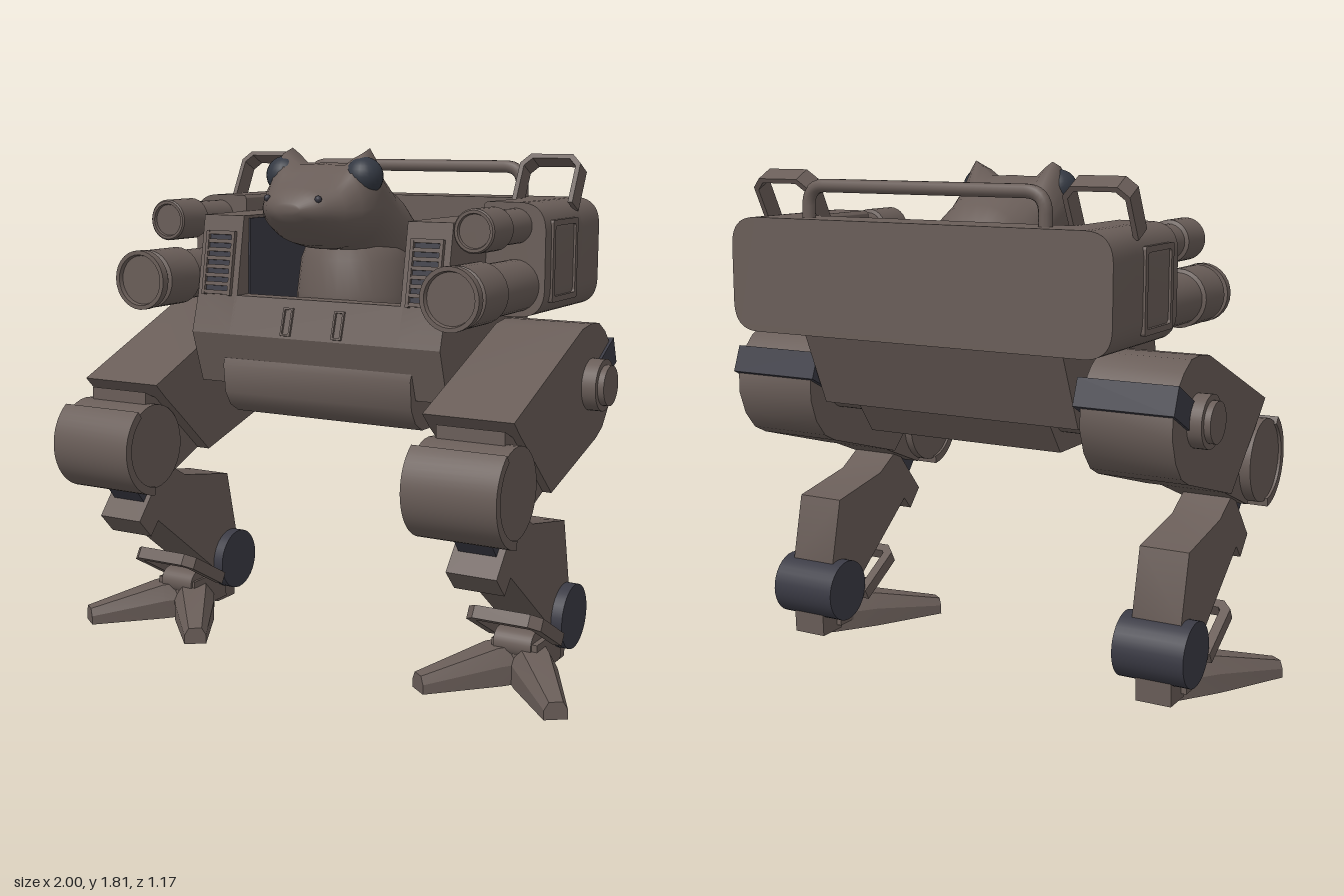
import * as THREE from 'three';
import { toCreasedNormals } from 'three/addons/utils/BufferGeometryUtils.js';

const material = (name, color) => {
  const m = new THREE.MeshStandardMaterial({ color });
  m.name = name;
  return m;
};

export function createModel() {
  const model = new THREE.Group();
  model.name = 'walker';
  const brown = material('brown', 0x695d58);
  const dark = material('charcoal', 0x3a3a44);
  const eyeMat = material('eye', 0x333842);

  const add = (name, geo, mat = brown) => {
    const m = new THREE.Mesh(geo, mat);
    m.name = name;
    model.add(m);
  };
  // Mirror across x = 0, keeping outward faces
  const mirror = (geo) => {
    const g = geo.index ? geo.toNonIndexed() : geo.clone();
    g.scale(-1, 1, 1);
    for (const a of Object.values(g.attributes)) {
      const n = a.itemSize;
      for (let i = 0; i < a.count; i += 3)
        for (let k = 0; k < n; k++) {
          const p = (i + 1) * n + k, q = (i + 2) * n + k, t = a.array[p];
          a.array[p] = a.array[q];
          a.array[q] = t;
        }
    }
    return g;
  };
  const pair = (name, geo, mat = brown) => {
    add(name + 'Left', geo, mat);
    add(name + 'Right', mirror(geo), mat);
  };
  const shapeOf = (pts) => new THREE.Shape(pts.map(([a, b]) => new THREE.Vector2(a, b)));
  const extrude = (shape, depth) =>
    toCreasedNormals(new THREE.ExtrudeGeometry(shape, { depth, bevelEnabled: false, curveSegments: 10 }), 0.6);
  // Side outline (z, y) as a shape or list of points, spanning x0 to x1
  const side = (outline, x0, x1) =>
    extrude(Array.isArray(outline) ? shapeOf(outline) : outline, x1 - x0).rotateY(-Math.PI / 2).translate(x1, 0, 0);
  const box = (x0, x1, y0, y1, z0, z1) =>
    new THREE.BoxGeometry(x1 - x0, y1 - y0, z1 - z0).translate((x0 + x1) / 2, (y0 + y1) / 2, (z0 + z1) / 2);
  const axleX = (r, x0, x1, y, z) =>
    new THREE.CylinderGeometry(r, r, x1 - x0, 32).rotateZ(Math.PI / 2).translate((x0 + x1) / 2, y, z);
  // Turned part along z from [radius, z] points
  const turned = (pts, x, y) =>
    toCreasedNormals(new THREE.LatheGeometry(pts.map(([r, z]) => new THREE.Vector2(r, z)), 28), 0.6)
      .rotateX(Math.PI / 2).translate(x, y, 0);
  // Rectangle with separate corner radii on its left and right
  const roundRect = (x0, x1, y0, y1, rl, rr) => {
    const s = new THREE.Shape();
    s.moveTo(x0 + rl, y0).lineTo(x1 - rr, y0).quadraticCurveTo(x1, y0, x1, y0 + rr).lineTo(x1, y1 - rr);
    s.quadraticCurveTo(x1, y1, x1 - rr, y1).lineTo(x0 + rl, y1).quadraticCurveTo(x0, y1, x0, y1 - rl);
    s.lineTo(x0, y0 + rl).quadraticCurveTo(x0, y0, x0 + rl, y0);
    return s;
  };
  // Flat strap bent into an arch, base at y = 0
  const arch = (w, h, t, depth) => {
    const c = 0.045;
    return extrude(shapeOf([[-w, 0], [-w + t, 0], [-w + t, h - c], [-w + c, h - t], [w - c, h - t], [w - t, h - c],
      [w - t, 0], [w, 0], [w, h - c + 0.01], [w - c + 0.01, h], [-w + c - 0.01, h], [-w, h - c + 0.01]]), depth);
  };
  // Rings of equal point count joined into a closed skin
  const loft = (rings) => {
    const n = rings[0].length, pos = rings.flat(2), idx = [];
    for (let r = 0; r < rings.length - 1; r++)
      for (let i = 0; i < n; i++) {
        const a = r * n + i, b = r * n + (i + 1) % n;
        idx.push(a, b, a + n, b, b + n, a + n);
      }
    for (let i = 1; i < n - 1; i++) {
      const e = (rings.length - 1) * n;
      idx.push(0, i + 1, i, e, e + i, e + i + 1);
    }
    const g = new THREE.BufferGeometry();
    g.setAttribute('position', new THREE.Float32BufferAttribute(pos, 3));
    g.setIndex(idx);
    g.computeVertexNormals();
    return g;
  };

  // Rear hull and side pods
  add('rearHull', extrude(roundRect(-0.72, 0.72, 1.24, 1.63, 0.1, 0.1), 0.17).translate(0, 0, -0.59));
  pair('sidePod', extrude(roundRect(0.49, 0.72, 1.24, 1.63, 0.02, 0.1), 0.33).translate(0, 0, -0.43));
  const frame = roundRect(-0.37, -0.15, 1.29, 1.57, 0.01, 0.01);
  frame.holes.push(roundRect(-0.35, -0.17, 1.31, 1.55, 0.01, 0.01));
  pair('podPanelFrame', side(frame, 0.7, 0.728));

  // Cockpit tub
  add('lowerTub', side([[0.24, 1.155], [-0.42, 1.155], [-0.42, 1.24], [-0.49, 1.24], [-0.37, 0.97], [0.18, 0.97]], -0.5, 0.5));
  add('frontLip', side([[0.24, 1.155], [0.2, 1.29], [0.13, 1.29], [0.13, 1.155]], -0.34, 0.34));
  pair('cockpitWall', side([[0.24, 1.155], [0.2, 1.29], [0.15, 1.57], [-0.43, 1.57], [-0.43, 1.155]], 0.33, 0.5));
  pair('cockpitLining', side([[0.12, 1.155], [0.13, 1.29], [0.12, 1.56], [-0.42, 1.56], [-0.42, 1.155]], 0.323, 0.33), dark);
  add('cockpitFloor', box(-0.33, 0.33, 1.155, 1.163, -0.42, 0.13), dark);
  add('belly', side([[0.2, 1.09], [-0.3, 1.09], [-0.34, 0.97], [-0.26, 0.86], [0.13, 0.86], [0.18, 0.89], [0.21, 0.94], [0.22, 1.04]], -0.38, 0.38));
  const slotFrame = roundRect(-0.02, 0.02, -0.05, 0.05, 0.003, 0.003);
  slotFrame.holes.push(roundRect(-0.013, 0.013, -0.043, 0.043, 0.003, 0.003));
  pair('frontSlot', extrude(slotFrame, 0.012).rotateX(-0.288).translate(0.103, 1.21, 0.22));

  // Vents with slats on the sloping pillars
  const tilt = -Math.atan2(0.05, 0.28);
  const onPillar = (g, y) => g.rotateX(tilt).translate(0.415, y, 0.2 - (y - 1.29) * 0.05 / 0.28);
  pair('ventBack', onPillar(new THREE.BoxGeometry(0.11, 0.22, 0.008), 1.4), dark);
  for (let i = 0; i < 8; i++)
    pair('ventSlat' + i, onPillar(new THREE.BoxGeometry(0.11, 0.014, 0.026), 1.297 + i * 0.03));
  for (const x of [-0.055, 0.055])
    pair('ventRim', onPillar(new THREE.BoxGeometry(0.012, 0.23, 0.03).translate(x, 0, 0), 1.4));

  // Cannons
  pair('lowerCannon', turned([[0, -0.12], [0.09, -0.12], [0.09, 0.17], [0.103, 0.175], [0.103, 0.345], [0.09, 0.35],
    [0.09, 0.37], [0.105, 0.37], [0.105, 0.4], [0.09, 0.4], [0.086, 0.385], [0, 0.385]], 0.61, 1.347));
  pair('upperCannon', turned([[0, -0.12], [0.06, -0.12], [0.06, 0.075], [0.073, 0.08], [0.073, 0.225], [0.068, 0.23],
    [0.058, 0.23], [0.055, 0.22], [0, 0.22]], 0.61, 1.55));

  // Pod handles and rear rail
  pair('podHandle', arch(0.115, 0.185, 0.017, 0.07).rotateX(-0.48).translate(0.6, 1.59, -0.4));
  const [a, b, c, d, e, f] = [[-0.45, 1.6], [-0.45, 1.67], [-0.38, 1.738], [0.38, 1.738], [0.45, 1.67], [0.45, 1.6]]
    .map(([x, y]) => new THREE.Vector3(x, y, -0.51));
  const rail = new THREE.CurvePath();
  rail.add(new THREE.LineCurve3(a, b));
  rail.add(new THREE.QuadraticBezierCurve3(b, new THREE.Vector3(-0.45, 1.738, -0.51), c));
  rail.add(new THREE.LineCurve3(c, d));
  rail.add(new THREE.QuadraticBezierCurve3(d, new THREE.Vector3(0.45, 1.738, -0.51), e));
  rail.add(new THREE.LineCurve3(e, f));
  add('rearRail', new THREE.TubeGeometry(rail, 80, 0.023, 10));

  // Pilot head: sections of [z, top, bottom, half width], raised into brow ridges
  const head = [[-0.3, 1.52, 1.32, 0.13], [-0.25, 1.61, 1.25, 0.18], [-0.16, 1.67, 1.25, 0.2], [-0.06, 1.71, 1.36, 0.2],
    [0.03, 1.745, 1.43, 0.2], [0.1, 1.76, 1.46, 0.208], [0.16, 1.755, 1.465, 0.21], [0.22, 1.73, 1.48, 0.195],
    [0.28, 1.7, 1.51, 0.165], [0.33, 1.68, 1.54, 0.13], [0.365, 1.66, 1.565, 0.095], [0.383, 1.63, 1.59, 0.05]];
  add('pilotHead', loft(head.map(([z, top, bot, w]) => Array.from({ length: 32 }, (_, i) => {
    const t = i / 32 * Math.PI * 2, cx = Math.cos(t), sy = Math.sin(t);
    const x = w * Math.sign(cx) * Math.abs(cx) ** 0.85;
    const ridge = sy > 0 ? 0.1 * Math.exp(-(((z - 0.12) / 0.08) ** 2)) * Math.exp(-(((Math.abs(x) - 0.16) / 0.045) ** 2)) : 0;
    return [x, (top + bot) / 2 + (top - bot) / 2 * sy + ridge, z];
  }))));
  add('pilotBody', new THREE.LatheGeometry([[0, 1.14], [0.22, 1.14], [0.215, 1.3], [0.2, 1.42], [0.16, 1.52], [0, 1.56]]
    .map(([r, y]) => new THREE.Vector2(r, y)), 32).translate(0, 0, -0.08));
  pair('eye', new THREE.SphereGeometry(0.066, 24, 16).translate(0.158, 1.715, 0.145), eyeMat);
  pair('nostril', new THREE.SphereGeometry(0.012, 10, 8).translate(0.1, 1.645, 0.347), dark);

  // Hips and thighs
  pair('hipAxle', axleX(0.085, 0.36, 0.56, 1.01, -0.22));
  pair('hipHub', axleX(0.09, 0.84, 0.9, 1.01, -0.22));
  pair('hipCap', axleX(0.07, 0.9, 0.922, 1.01, -0.22));
  pair('thigh', side([[0.42, 0.98], [0.37, 0.93], [0.28, 0.85], [0.11, 0.695], [-0.28, 0.81], [-0.34, 0.84], [-0.39, 0.9],
    [-0.42, 0.98], [-0.42, 1.06], [-0.39, 1.13], [-0.34, 1.18], [-0.28, 1.215], [-0.21, 1.22], [-0.13, 1.21]], 0.53, 0.85));
  pair('thighPad', side([[-0.4, 1.15], [-0.25, 1.07], [-0.3, 0.99], [-0.435, 1.06]], 0.51, 0.86), dark);

  // Knees
  pair('kneeBracket', side([[0.42, 0.95], [0.25, 0.87], [0.08, 0.71], [0.35, 0.6], [0.42, 0.65]], 0.58, 0.82));
  pair('kneeDrum', axleX(0.152, 0.55, 0.86, 0.755, 0.41));
  const shell = new THREE.Shape();
  shell.absarc(0.41, 0.755, 0.175, -1.48, 0.95, false);
  shell.absarc(0.41, 0.755, 0.145, 0.95, -1.48, true);
  pair('kneeShell', side(shell, 0.54, 0.87));
  pair('kneeStrut', side([[0.45, 0.63], [0.36, 0.52], [0.2, 0.58], [0.28, 0.68]], 0.64, 0.775), dark);

  // Shins and ankles
  pair('shin', side([[0.42, 0.47], [0.355, 0.4], [0.31, 0.45], [-0.05, 0.17], [-0.17, 0.17], [-0.19, 0.3],
    [-0.135, 0.54], [0.14, 0.59], [0.26, 0.66]], 0.62, 0.8));
  pair('ankleDrum', axleX(0.115, 0.58, 0.84, 0.195, -0.15), dark);
  pair('ankleLoop', arch(0.137, 0.25, 0.035, 0.045).rotateX(1.05).translate(0.71, 0.165, -0.045));
  pair('footPivot', axleX(0.05, 0.64, 0.78, 0.135, 0.04));

  // Feet: two splayed toes and a heel
  const toeRing = ([z, w, h]) => [[-w, 0, z], [w, 0, z], [w, h * 0.55, z], [w * 0.6, h, z], [-w * 0.6, h, z], [-w, h * 0.55, z]];
  const toe = toCreasedNormals(loft([[-0.05, 0.08, 0.13], [0.14, 0.075, 0.125], [0.42, 0.04, 0.06]].map(toeRing)), 0.3);
  pair('outerToe', toe.clone().rotateY(0.64).translate(0.715, 0, -0.03));
  pair('innerToe', toe.clone().rotateY(-0.64).translate(0.715, 0, -0.03));
  pair('footBlock', box(0.63, 0.8, 0.04, 0.15, -0.13, 0.08));
  pair('heel', side([[-0.07, 0.13], [-0.22, 0.13], [-0.215, 0.02], [-0.1, 0.02]], 0.65, 0.78));
  return model;
}
